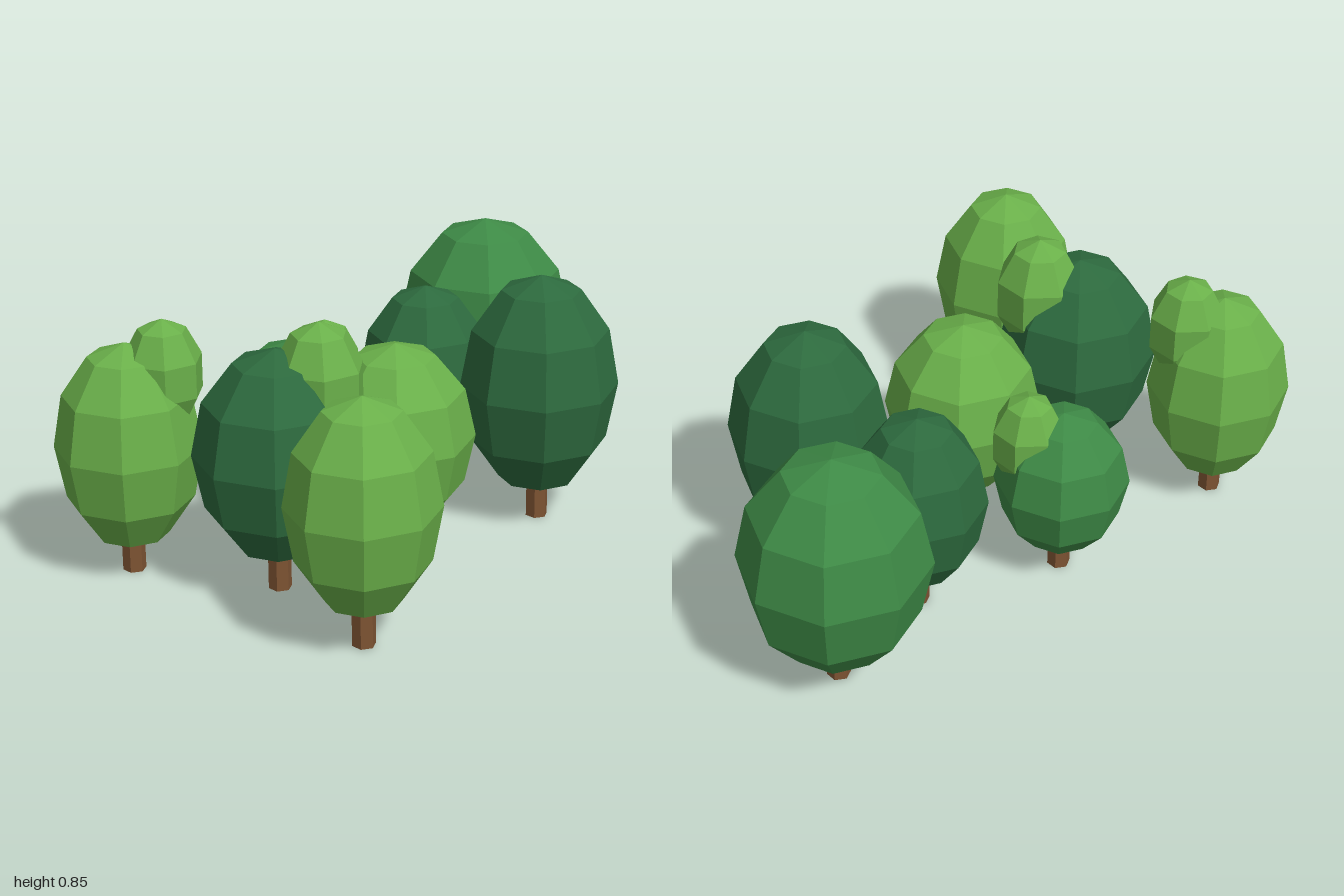
import * as THREE from 'three';

const material = (name, color) => {
  const m = new THREE.MeshStandardMaterial({ color, flatShading: true });
  m.name = name;
  return m;
};

export function createModel() {
  const grove = new THREE.Group();
  grove.name = 'grove';

  const lime = material('lime leaves', 0x6ab04a);
  const green = material('green leaves', 0x3e8a46);
  const dark = material('dark leaves', 0x2d6a3e);
  const bark = material('bark', 0x7e5433);

  const crownGeometry = new THREE.SphereGeometry(1, 8, 6);
  const tuftGeometry = new THREE.SphereGeometry(1, 7, 5);
  const trunkGeometry = new THREE.CylinderGeometry(0.036, 0.036, 0.2, 6);

  // Stretched low-poly ball of leaves, placed by its top
  function leaves(name, geometry, mat, x, top, z, radius, halfHeight) {
    const mesh = new THREE.Mesh(geometry, mat);
    mesh.name = name;
    mesh.scale.set(radius, halfHeight, radius);
    mesh.position.set(x, top - halfHeight, z);
    return mesh;
  }

  // x, z, crown radius, crown bottom, crown top, leaves, top of the small tuft
  const trees = [
    [-0.775, -0.435, 0.226, 0.08, 0.745, lime, 0.815],
    [-0.135, -0.385, 0.21, 0.085, 0.59, green, 0.655],
    [-0.555, -0.015, 0.256, 0.1, 0.775, dark, 0.853],
    [-0.12, 0.055, 0.248, 0.08, 0.69, lime],
    [0.31, -0.22, 0.215, 0.09, 0.7, dark],
    [0.708, -0.315, 0.29, 0.083, 0.815, green],
    [0.38, 0.21, 0.252, 0.09, 0.82, dark],
    [-0.645, 0.428, 0.23, 0.1, 0.775, lime],
  ];

  for (const [x, z, r, bottom, top, mat, tuftTop] of trees) {
    const tree = new THREE.Group();
    tree.name = 'tree';
    tree.position.set(x, 0, z);

    const trunk = new THREE.Mesh(trunkGeometry, bark);
    trunk.name = 'trunk';
    trunk.position.y = 0.1;
    tree.add(trunk);

    tree.add(leaves('crown', crownGeometry, mat, 0, top, 0, r, (top - bottom) / 2));

    // Small lime tuft on the shoulder of some crowns
    if (tuftTop) {
      tree.add(leaves('tuft', tuftGeometry, lime, r * 0.385, tuftTop, r * 0.325, r * 0.56, r * 0.78));
    }
    grove.add(tree);
  }
  return grove;
}
